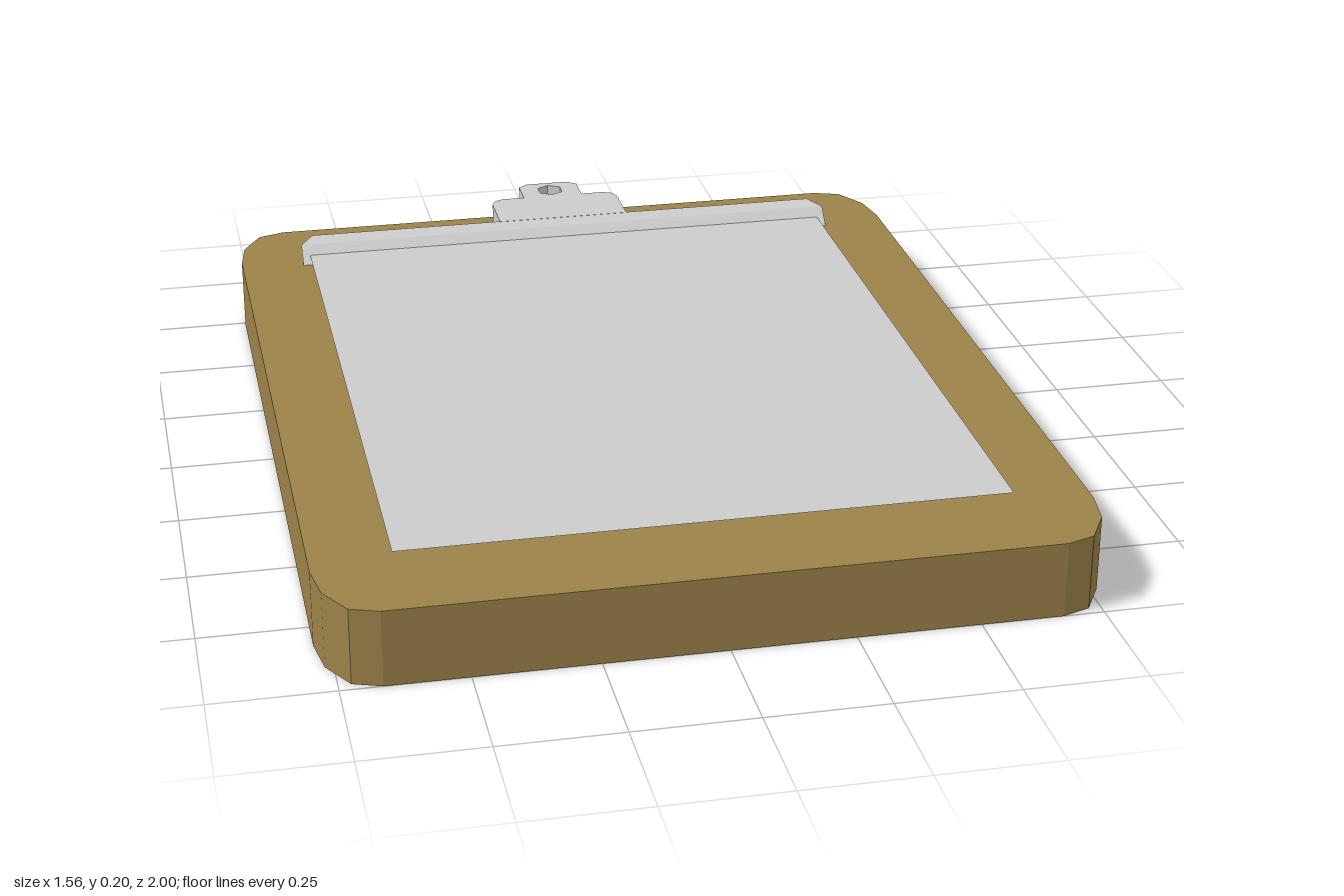
import * as THREE from 'three';

const wood = new THREE.MeshStandardMaterial({ color: 0x9c8249, flatShading: true });
const grey = new THREE.MeshStandardMaterial({ color: 0xcccccc, flatShading: true });
const paperGrey = new THREE.MeshStandardMaterial({ color: 0xcccccc, side: THREE.DoubleSide });

// Plan outline as [x, z] points, extruded upwards from y0 to y1
function slab(name, points, y0, y1, material, hole) {
  const shape = new THREE.Shape(points.map(([x, z]) => new THREE.Vector2(x, -z)));
  if (hole) shape.holes.push(new THREE.Path(hole.map(([x, z]) => new THREE.Vector2(x, -z))));
  const geo = new THREE.ExtrudeGeometry(shape, { depth: y1 - y0, bevelEnabled: false });
  geo.rotateX(-Math.PI / 2).translate(0, y0, 0);
  const mesh = new THREE.Mesh(geo, material);
  mesh.name = name;
  return mesh;
}

// Completes a half outline by mirroring it across x = 0
const mirrored = (half) => [...half, ...half.map(([x, z]) => [-x, z]).reverse()];

export function createModel() {
  const model = new THREE.Group();
  model.name = 'clipboard';

  // Thick board with faceted round corners
  const corner = [[0.667, 0.957], [0.725, 0.937], [0.767, 0.865], [0.78, 0.78]];
  const half = [...corner, ...corner.map(([x, z]) => [x, -z]).reverse()]
    .map(([x, z]) => [x, z + 0.043]);
  model.add(slab('board', mirrored(half), 0, 0.16, wood));

  // Sheet of paper held just above the board
  const paper = new THREE.Mesh(new THREE.PlaneGeometry(1.24, 1.585), paperGrey);
  paper.name = 'paper';
  paper.rotation.x = -Math.PI / 2;
  paper.position.set(0, 0.177, 0.012);
  model.add(paper);

  const clip = new THREE.Group();
  clip.name = 'clip';
  model.add(clip);

  // Clamp bar: sloped section run along x, its back edge narrower than its lip
  const section = new THREE.Shape([[-0.768, 0.16], [-0.768, 0.205], [-0.733, 0.196], [-0.694, 0.16]]
    .map(([z, y]) => new THREE.Vector2(-z, y)));
  const barGeo = new THREE.ExtrudeGeometry(section, { depth: 1.276, bevelEnabled: false });
  barGeo.translate(0, 0, -0.638).rotateY(Math.PI / 2);
  const pos = barGeo.attributes.position;
  for (let i = 0; i < pos.count; i++) {
    if (pos.getZ(i) < -0.75) pos.setX(i, Math.sign(pos.getX(i)) * 0.608);
  }
  barGeo.computeVertexNormals();
  const bar = new THREE.Mesh(barGeo, grey);
  bar.name = 'clampBar';
  clip.add(bar);

  // Tab with a rounded shoulder, narrow neck and six-sided hanging hole
  const tab = [[0.155, -0.766], [0.155, -0.88], [0.146, -0.902], [0.125, -0.912],
    [0.072, -0.912], [0.072, -0.982], [0.05, -1]];
  const hole = Array.from({ length: 6 }, (_, i) => {
    const a = (i + 0.5) * Math.PI / 3;
    return [0.032 * Math.cos(a), -0.952 + 0.032 * Math.sin(a)];
  });
  clip.add(slab('hangingTab', mirrored(tab), 0.161, 0.205, grey, hole));

  return model;
}
